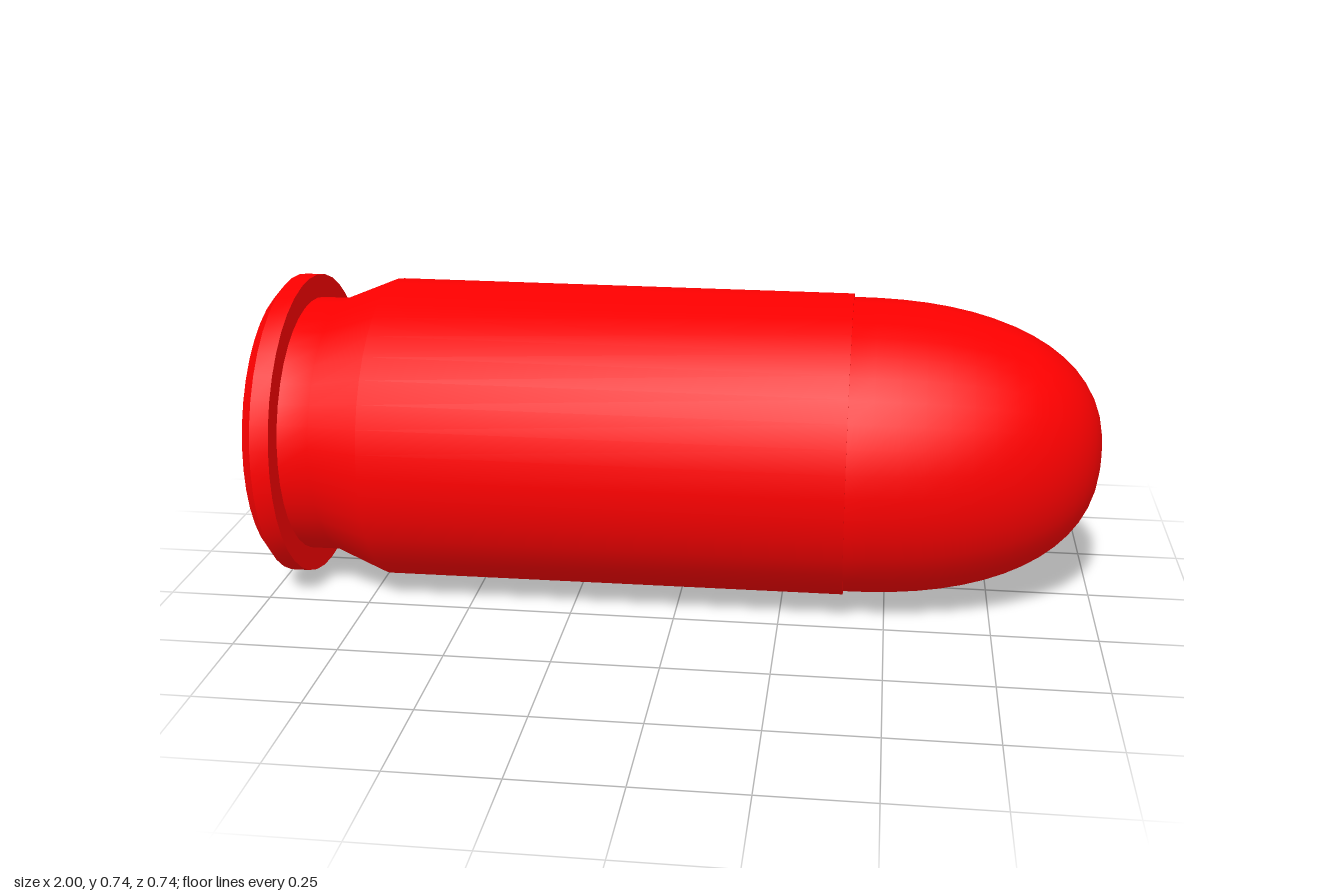
import * as THREE from 'three';
import { toCreasedNormals } from 'three/addons/utils/BufferGeometryUtils.js';

const SIDES = 40;
const RADIUS = 0.372;
const red = new THREE.MeshStandardMaterial({ color: 0xff0000 });

// Revolves [x, radius] pairs about the long axis; corners over the crease angle stay sharp
function turned(name, profile, reshape) {
  const points = profile.map(([x, r]) => new THREE.Vector2(r, x));
  const geometry = new THREE.LatheGeometry(points, SIDES);
  geometry.rotateZ(-Math.PI / 2);
  if (reshape) reshape(geometry.attributes.position);
  const mesh = new THREE.Mesh(toCreasedNormals(geometry, 0.5), red);
  mesh.name = name;
  mesh.position.y = RADIUS;
  return mesh;
}

export function createModel() {
  const group = new THREE.Group();
  group.name = 'cartridge';

  // Recessed primer in the base
  group.add(turned('primer', [[-0.98, 0], [-0.98, 0.155], [-1, 0.165]]));

  // Base face and bevelled rim
  group.add(turned('rim', [
    [-1, 0.165], [-1, 0.338], [-0.97, RADIUS], [-0.925, RADIUS], [-0.925, 0.315],
  ]));

  // Extractor groove, taper, straight wall and mouth lip
  group.add(turned('casing', [
    [-0.925, 0.315], [-0.85, 0.315], [-0.72, 0.368], [0.4, 0.365], [0.4, 0.35],
  ]));

  // Rounded nose, a little fuller in height than in width
  const start = 0.4, length = 0.6, baseRadius = 0.357;
  const nose = [];
  for (let i = 0; i <= 16; i++) {
    const a = (i / 16) * Math.PI / 2;
    nose.push([start + length * Math.sin(a), i === 16 ? 0 : baseRadius * Math.cos(a)]);
  }
  group.add(turned('noseTip', nose, (position) => {
    for (let i = 0; i < position.count; i++) {
      const t = Math.min(1, (position.getX(i) - start) / length);
      const round = Math.sqrt(Math.max(0, 1 - t * t));
      if (round < 1e-4) continue;
      const full = Math.pow(1 - Math.pow(t, 2.4), 1 / 2.4);
      position.setY(i, position.getY(i) * full / round);
    }
  }));

  return group;
}
